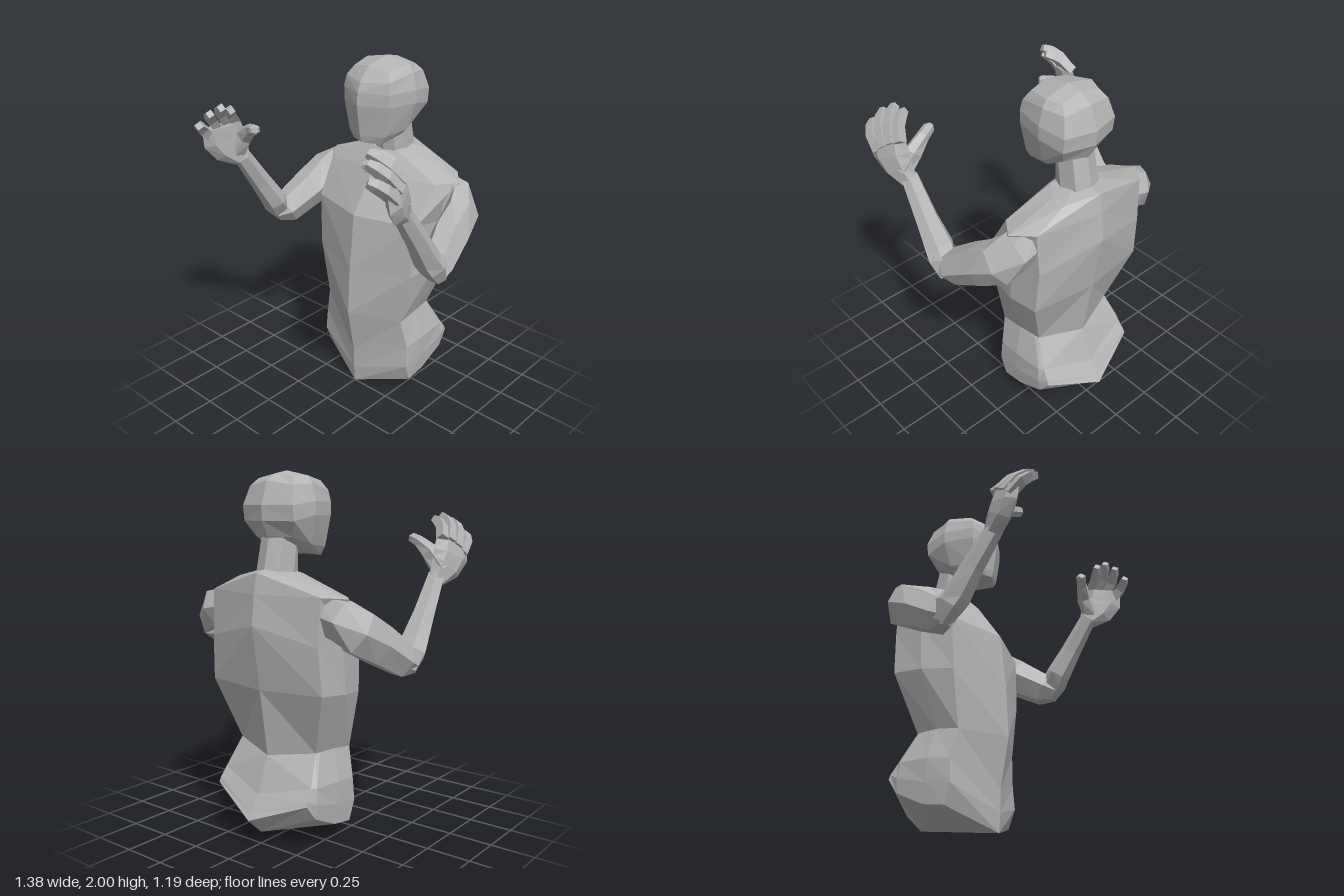
import * as THREE from 'three';

const V = (p) => new THREE.Vector3(p[0], p[1], p[2]);

// Skin a list of equal-length rings and close both ends with fans.
// Quads on the second half of the ring are split the other way, for symmetry.
function loft(rings, startCap, endCap) {
  const n = rings[0].length, pos = [], idx = [];
  rings.forEach((r) => r.forEach((p) => pos.push(p.x, p.y, p.z)));
  const centre = (r) => r.reduce((s, p) => s.add(p), V([0, 0, 0])).divideScalar(n);
  const last = (rings.length - 1) * n, s = rings.length * n, e = s + 1;
  const a = startCap ? V(startCap) : centre(rings[0]);
  const b = endCap ? V(endCap) : centre(rings[rings.length - 1]);
  pos.push(a.x, a.y, a.z, b.x, b.y, b.z);
  for (let i = 0; i < n; i++) {
    const j = (i + 1) % n;
    for (let k = 0; k < last; k += n) {
      const [p, q, r, t] = [k + i, k + j, k + n + j, k + n + i];
      if (i < n / 2) idx.push(p, q, r, p, r, t);
      else idx.push(p, q, t, q, r, t);
    }
    idx.push(s, j, i, e, last + i, last + j);
  }
  const g = new THREE.BufferGeometry();
  g.setAttribute('position', new THREE.Float32BufferAttribute(pos, 3));
  g.setIndex(idx);
  return g;
}

// Body ring from its left half: front centre, corners, back centre.
function bodyRing(half) {
  const right = half.slice(1, -1).reverse().map(([x, y, z]) => [-x, y, z]);
  return half.concat(right).map(V);
}

// Faceted limb; each section is [x, y, z, radius along ref, radius across].
function limb(sections, ref, n = 6, phase = 0) {
  const c = sections.map(V);
  return loft(sections.map((s, i) => {
    const t = c[Math.min(i + 1, c.length - 1)].clone().sub(c[Math.max(i - 1, 0)]).normalize();
    const u = V(ref).addScaledVector(t, -V(ref).dot(t)).normalize();
    const v = t.clone().cross(u);
    return Array.from({ length: n }, (_, k) => {
      const a = phase + (k / n) * Math.PI * 2;
      return c[i].clone().addScaledVector(u, s[3] * Math.cos(a)).addScaledVector(v, s[4] * Math.sin(a));
    });
  }));
}

// Mirror across x, reversing the winding.
function mirrored(g) {
  const m = g.clone().scale(-1, 1, 1), a = m.index.array;
  for (let i = 0; i < a.length; i += 3) [a[i], a[i + 1]] = [a[i + 1], a[i]];
  return m;
}

export function createModel() {
  const group = new THREE.Group();
  const grey = new THREE.MeshStandardMaterial({ color: 0xb4b4b4 });
  grey.name = 'plain grey';
  grey.flatShading = true;

  const add = (name, g, parent = group) => {
    const flat = g.toNonIndexed();
    flat.computeVertexNormals();
    const mesh = new THREE.Mesh(flat, grey);
    mesh.name = name;
    parent.add(mesh);
  };

  // Pelvis, up to the waist
  add('pelvis', loft([
    [[0, 0.005, 0], [0.325, 0.1, -0.13], [0.325, 0.12, -0.26], [0.325, 0.2, -0.43], [0.317, 0.285, -0.495], [0, 0.165, -0.6]],
    [[0, 0.11, 0.008], [0.33, 0.21, -0.09], [0.335, 0.23, -0.24], [0.332, 0.28, -0.43], [0.315, 0.31, -0.485], [0, 0.2, -0.575]],
    [[0, 0.24, 0.01], [0.325, 0.34, -0.1], [0.335, 0.36, -0.24], [0.325, 0.365, -0.42], [0.305, 0.37, -0.445], [0, 0.29, -0.52]],
    [[0, 0.52, 0.06], [0.285, 0.51, -0.08], [0.285, 0.53, -0.22], [0.275, 0.53, -0.33], [0.265, 0.53, -0.355], [0, 0.49, -0.44]],
  ].map(bodyRing), [0, 0.07, -0.5]));

  // Torso, waist to collar
  add('torso', loft([
    [[0, 0.52, 0.06], [0.285, 0.51, -0.08], [0.285, 0.53, -0.22], [0.265, 0.53, -0.355], [0, 0.49, -0.44]],
    [[0, 0.81, 0.045], [0.345, 0.83, -0.08], [0.39, 0.85, -0.26], [0.38, 0.87, -0.45], [0, 0.86, -0.495]],
    [[0, 1.14, 0.01], [0.355, 1.14, -0.09], [0.385, 1.13, -0.28], [0.365, 1.12, -0.465], [0, 1.21, -0.55]],
    [[0, 1.37, -0.145], [0.38, 1.355, -0.23], [0.46, 1.36, -0.34], [0.37, 1.37, -0.45], [0, 1.37, -0.53]],
    [[0, 1.47, -0.24], [0.1, 1.47, -0.26], [0.18, 1.455, -0.35], [0.18, 1.455, -0.44], [0, 1.48, -0.51]],
  ].map(bodyRing), null, [0, 1.51, -0.36]));

  // Neck
  add('neck', loft([
    [[0, 1.44, -0.24], [0.07, 1.44, -0.26], [0.1, 1.46, -0.33], [0.08, 1.48, -0.42], [0, 1.48, -0.45]],
    [[0, 1.6, -0.23], [0.065, 1.6, -0.25], [0.095, 1.62, -0.3], [0.075, 1.67, -0.38], [0, 1.67, -0.41]],
  ].map(bodyRing)));

  // Head
  add('head', loft([
    [[0, 1.56, -0.05], [0.1, 1.555, -0.1], [0.12, 1.585, -0.25], [0.1, 1.64, -0.35], [0, 1.64, -0.41]],
    [[0, 1.6, -0.04], [0.125, 1.6, -0.095], [0.155, 1.62, -0.25], [0.125, 1.66, -0.37], [0, 1.66, -0.42]],
    [[0, 1.77, -0.015], [0.16, 1.77, -0.09], [0.2, 1.77, -0.27], [0.17, 1.74, -0.41], [0, 1.74, -0.46]],
    [[0, 1.84, -0.02], [0.16, 1.84, -0.09], [0.2, 1.84, -0.27], [0.17, 1.82, -0.42], [0, 1.82, -0.465]],
    [[0, 1.89, -0.04], [0.15, 1.9, -0.1], [0.175, 1.93, -0.27], [0.145, 1.92, -0.39], [0, 1.945, -0.42]],
    [[0, 1.97, -0.11], [0.12, 1.95, -0.13], [0.15, 1.97, -0.27], [0.12, 1.96, -0.35], [0, 1.985, -0.34]],
  ].map(bodyRing), [0, 1.575, -0.25], [0, 2, -0.26]));

  // Arm and hand parts, modelled on the left and mirrored
  const across = [-0.35, 0.5, -0.78];
  const parts = {
    upperArm: limb([
      [0.28, 1.29, -0.355, 0.11, 0.09], [0.43, 1.255, -0.36, 0.115, 0.1], [0.5, 1.195, -0.31, 0.13, 0.1],
      [0.53, 1.12, -0.18, 0.12, 0.105], [0.575, 1.015, -0.005, 0.1, 0.09], [0.605, 0.99, 0.05, 0.055, 0.06],
    ], [0, 1, 0], 6, Math.PI / 6),
    forearm: limb([
      [0.6, 0.965, 0.0, 0.05, 0.05], [0.595, 1.05, 0.05, 0.08, 0.078], [0.58, 1.1, 0.09, 0.086, 0.07],
      [0.585, 1.24, 0.18, 0.066, 0.06], [0.58, 1.44, 0.315, 0.05, 0.05],
    ], [1, 0, 0]),
    palm: limb([
      [0.585, 1.42, 0.305, 0.055, 0.045], [0.61, 1.49, 0.36, 0.105, 0.048],
      [0.623, 1.55, 0.395, 0.122, 0.045], [0.62, 1.63, 0.41, 0.11, 0.036],
    ], across),
    thumb: limb([
      [0.6, 1.47, 0.33, 0.055, 0.05], [0.54, 1.565, 0.315, 0.055, 0.045],
      [0.46, 1.62, 0.335, 0.036, 0.034], [0.4, 1.64, 0.36, 0.03, 0.032], [0.385, 1.642, 0.37, 0.018, 0.02],
    ], [0, 1, 0]),
  };

  // Fingers: knuckle and tip, curling inward past a bent middle joint
  const fingers = [
    ['littleFinger', [0.65, 1.575, 0.465], [0.597, 1.67, 0.575]],
    ['ringFinger', [0.635, 1.615, 0.425], [0.553, 1.735, 0.53]],
    ['middleFinger', [0.615, 1.645, 0.38], [0.515, 1.765, 0.482]],
    ['indexFinger', [0.592, 1.655, 0.34], [0.492, 1.745, 0.435]],
  ];
  for (const [name, k, t] of fingers) {
    const at = (f, bulge, r) => {
      const p = V(k).lerp(V(t), f);
      return [p.x + bulge, p.y + bulge * 0.6, p.z + bulge * 0.3, r, r];
    };
    parts[name] = limb([at(-0.15, 0, 0.036), at(0.4, 0.02, 0.037), at(0.75, 0.014, 0.034), at(1, 0, 0.024)],
      across, 4, Math.PI / 4);
  }

  for (const side of ['left', 'right']) {
    const arm = new THREE.Group();
    arm.name = side + 'Arm';
    for (const [name, g] of Object.entries(parts)) add(name, side === 'left' ? g : mirrored(g), arm);
    group.add(arm);
  }
  return group;
}
